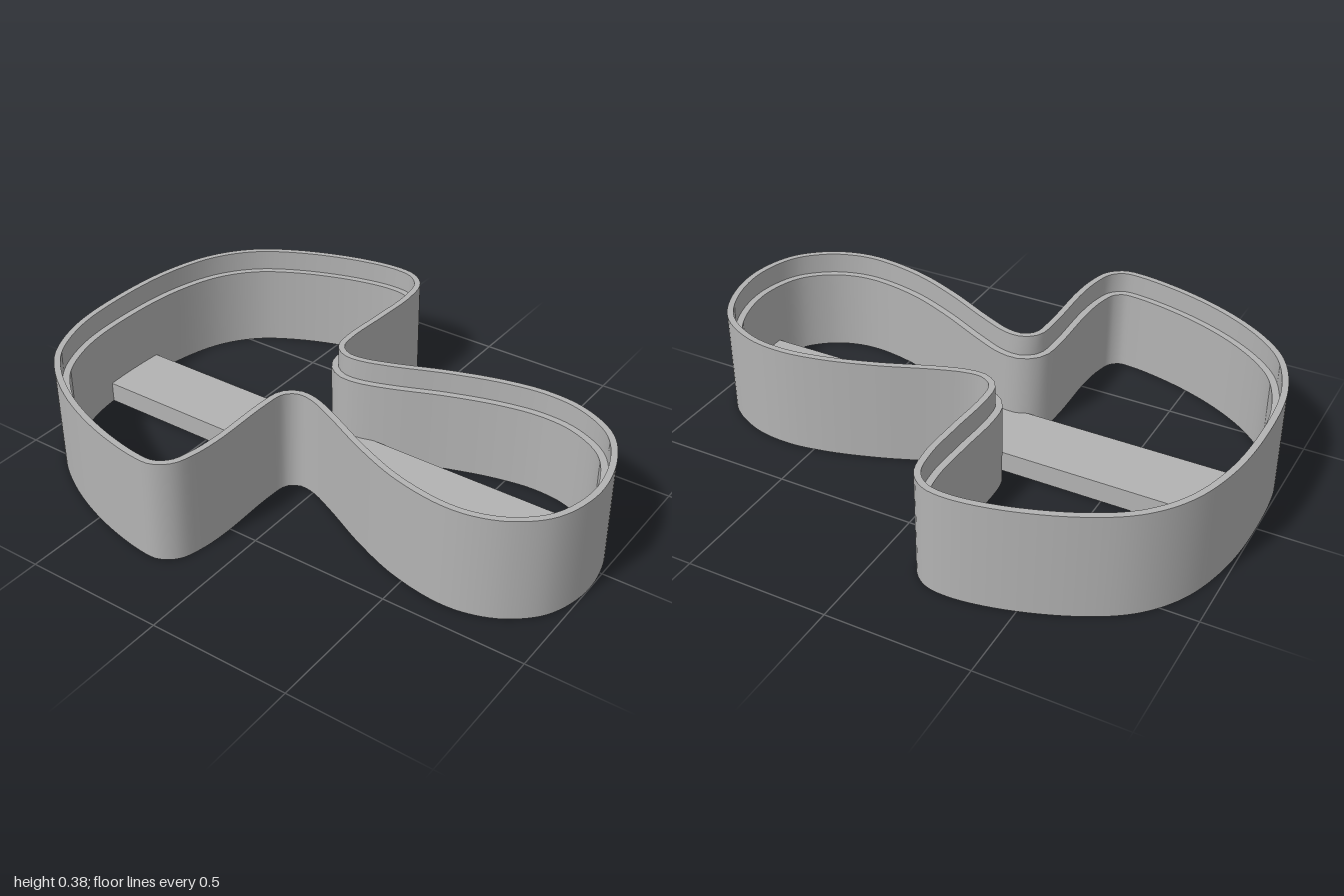
import * as THREE from 'three';
import { toCreasedNormals } from 'three/addons/utils/BufferGeometryUtils.js';

// Mushroom outline (x, z), counter-clockwise seen from above, starting at the cap's top
const OUTLINE = [
  [0, -1], [-0.25, -0.98], [-0.43, -0.91], [-0.53, -0.82], [-0.63, -0.67], [-0.71, -0.475],
  [-0.755, -0.27], [-0.753, -0.195], [-0.71, -0.14], [-0.63, -0.115], [-0.525, -0.105],
  [-0.29, -0.108], [-0.205, -0.098], [-0.176, -0.06], [-0.18, -0.005], [-0.225, 0.1],
  [-0.315, 0.28], [-0.385, 0.46], [-0.417, 0.645], [-0.405, 0.757], [-0.36, 0.86],
  [-0.265, 0.955], [-0.1, 1], [0.08, 0.97], [0.215, 0.89], [0.295, 0.75], [0.315, 0.61],
  [0.295, 0.46], [0.24, 0.275], [0.165, 0.085], [0.135, -0.015], [0.134, -0.07],
  [0.165, -0.113], [0.24, -0.125], [0.425, -0.117], [0.585, -0.115], [0.69, -0.138],
  [0.742, -0.195], [0.756, -0.28], [0.73, -0.45], [0.65, -0.67], [0.555, -0.82],
  [0.425, -0.92], [0.24, -0.98],
];

// Wall cross-section (inward offset, y): thin rim outside, ledge inside
const SECTION = [[0, 0], [0, 0.375], [0.022, 0.375], [0.022, 0.3], [0.046, 0.3], [0.046, 0]];

// Sweep the cross-section around the closed outline
function wallGeometry(steps) {
  const curve = new THREE.CatmullRomCurve3(
    OUTLINE.map(([x, z]) => new THREE.Vector3(x, 0, z)), true, 'centripetal');
  const positions = [];
  const index = [];
  const m = SECTION.length;
  for (let i = 0; i < steps; i++) {
    const p = curve.getPointAt(i / steps);
    const t = curve.getTangentAt(i / steps);
    const next = (i + 1) % steps;
    SECTION.forEach(([inset, y], k) => {
      positions.push(p.x + t.z * inset, y, p.z - t.x * inset);
      const k2 = (k + 1) % m;
      const a = i * m + k, b = next * m + k, c = next * m + k2, d = i * m + k2;
      index.push(a, b, c, a, c, d);
    });
  }
  const geometry = new THREE.BufferGeometry();
  geometry.setAttribute('position', new THREE.Float32BufferAttribute(positions, 3));
  geometry.setIndex(index);
  return toCreasedNormals(geometry, 0.7);
}

export function createModel() {
  const group = new THREE.Group();
  group.name = 'mushroomCutter';
  const gray = new THREE.MeshStandardMaterial({ color: 0xb3b3b3 });
  gray.name = 'gray';

  // Stepped wall
  const wall = new THREE.Mesh(wallGeometry(280), gray);
  wall.name = 'cutterWall';
  group.add(wall);

  // Flat brace along the middle, ends buried in the wall
  const brace = new THREE.Mesh(new THREE.BoxGeometry(0.25, 0.075, 1.92), gray);
  brace.name = 'brace';
  brace.position.set(-0.02, 0.0375, -0.01);
  group.add(brace);

  return group;
}
